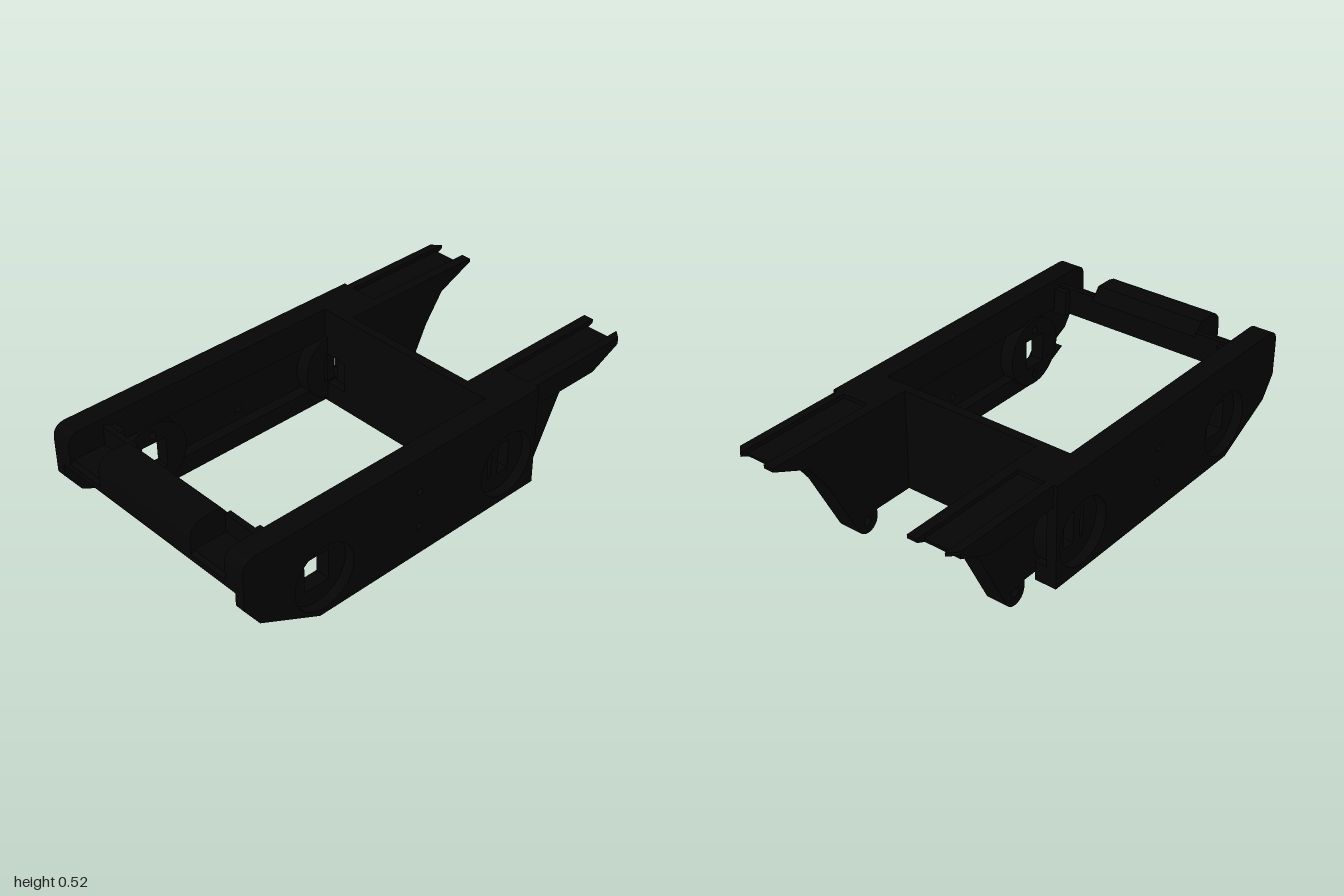
import * as THREE from 'three';

const black = new THREE.MeshStandardMaterial({ color: 0x050505 });
black.name = 'matte black';

// Side profiles are lists of [z, y]; they are extruded along x.
const outline = (pts) => new THREE.Shape(pts.map(([z, y]) => new THREE.Vector2(-z, y)));
const circle = (z, y, r) => new THREE.Path().absarc(-z, y, r, 0, Math.PI * 2, true);
const rect = (a0, a1, y0, y1) => new THREE.Path(
  [[a0, y0], [a1, y0], [a1, y1], [a0, y1]].map(([a, y]) => new THREE.Vector2(a, y)));

function slab(shape, x0, x1) {
  const g = new THREE.ExtrudeGeometry(shape, { depth: x1 - x0, bevelEnabled: false, curveSegments: 20 });
  return g.rotateY(Math.PI / 2).translate(x0, 0, 0);
}

// Wheel mounts in the side plates
const MOUNTS = [0.635, -0.31], MOUNT_Y = 0.247;
const mountHoles = (z) => [
  rect(-z - 0.057, -z + 0.057, 0.18, 0.315),
  circle(z, 0.35, 0.016), circle(z, 0.14, 0.016),
];

// Side plate skin
function plateShape() {
  const s = new THREE.Shape();
  s.moveTo(0.47, 0.082);
  s.lineTo(0.47, 0.525);
  s.lineTo(-0.94, 0.525);
  s.quadraticCurveTo(-1, 0.525, -1, 0.465);
  s.lineTo(-1, 0.315);
  s.lineTo(-0.935, 0.222);
  s.lineTo(-0.66, 0.082);
  s.closePath();
  s.holes.push(circle(0.165, 0.37, 0.015), circle(0.165, 0.213, 0.015));
  for (const z of MOUNTS) s.holes.push(circle(z, MOUNT_Y, 0.14));
  return s;
}

// Thick band along the top edge of a plate
function topBandShape() {
  const s = new THREE.Shape();
  s.moveTo(0.47, 0.39);
  s.lineTo(0.47, 0.525);
  s.lineTo(-0.94, 0.525);
  s.quadraticCurveTo(-1, 0.525, -1, 0.465);
  s.lineTo(-1, 0.39);
  s.closePath();
  for (const z of MOUNTS) s.holes.push(circle(z, 0.35, 0));
  s.holes.length = 0;
  return s;
}

// Rear web with the rounded hinge lug at its foot
function webShape() {
  const s = new THREE.Shape();
  s.moveTo(0.308, 0.082);
  s.lineTo(0.495, 0.082);
  s.lineTo(0.495, 0.054);
  s.absarc(0.549, 0.054, 0.054, Math.PI, Math.PI * 1.87, false);
  s.lineTo(0.74, 0.31);
  s.lineTo(0.83, 0.435);
  s.lineTo(0.83, 0.46);
  s.lineTo(0.308, 0.46);
  s.closePath();
  s.holes.push(circle(-0.549, 0.054, 0.02));
  return s;
}

export function createModel() {
  const model = new THREE.Group();
  model.name = 'chassisFrame';
  const add = (name, geometry) => {
    const m = new THREE.Mesh(geometry, black);
    m.name = name;
    model.add(m);
    return m;
  };
  const box = (name, x0, x1, y0, y1, z0, z1) =>
    add(name, new THREE.BoxGeometry(x1 - x0, y1 - y0, z1 - z0)
      .translate((x0 + x1) / 2, (y0 + y1) / 2, (z0 + z1) / 2));

  for (const side of [1, -1]) {
    const label = side > 0 ? 'left' : 'right';
    const span = (a, b) => (side > 0 ? [a, b] : [-b, -a]);
    const part = (name, shape, a, b) => add(label + name, slab(shape, ...span(a, b)));

    // Side plate: thin skin stiffened by bands along its top and bottom
    part('PlateSkin', plateShape(), 0.49, 0.534);
    part('TopBand', topBandShape(), 0.44, 0.49);
    part('BottomBand', outline([[-0.47, 0.082], [-0.47, 0.165], [0.772, 0.165], [0.85, 0.179], [0.66, 0.082]]),
      0.44, 0.49);

    // Wheel mounts standing proud of the inside, closing the round recesses
    for (const z of MOUNTS) {
      const boss = new THREE.Shape().absarc(-z, MOUNT_Y, 0.155, 0, Math.PI * 2, false);
      boss.holes.push(...mountHoles(z));
      part('MountBoss', boss, 0.427, 0.49);
    }

    // Rear arm: web, flange and two rails beside a shallow groove
    part('RearWeb', webShape(), 0.315, side > 0 ? 0.42 : 0.41);
    const under = [[-0.3, 0.43], [-0.82, 0.43]];
    part('ArmFlange', outline([...under, [-0.965, 0.496], [-0.965, 0.508], [-0.3, 0.508]]), 0.315, 0.517);
    const rail = outline([...under, [-1, 0.51], [-1, 0.525], [-0.3, 0.525]]);
    part('InnerRail', rail, 0.315, 0.36);
    const outerRail = part('OuterRail', rail, 0.48, 0.517);
    // Chamfer the outer corner of the tip
    const p = outerRail.geometry.attributes.position;
    for (let i = 0; i < p.count; i++) {
      if (Math.abs(p.getX(i)) > 0.51 && p.getZ(i) < -0.99) p.setZ(i, -0.965);
    }
    outerRail.geometry.computeVertexNormals();
    box(label + 'ArmRoot', ...span(0.315, 0.45), 0.43, 0.525, -0.47, -0.28);

    // Notched ends of the front bar, with a lip behind and a corner block
    part('BarEnd', outline([[0.82, 0.37], [1, 0.37], [1, 0.395], [0.985, 0.41], [0.845, 0.41],
      [0.845, 0.49], [0.82, 0.49]]), 0.26, 0.49);
    box(label + 'BarCorner', ...span(0.38, 0.49), 0.37, 0.48, 0.79, 0.83);
  }

  // Raised middle of the front bar, rounded at the front
  const bar = outline([[0.82, 0.37], [1, 0.37], [1, 0.465], [0.993, 0.495],
    [0.972, 0.517], [0.94, 0.525], [0.86, 0.525], [0.82, 0.47]]);
  add('frontBar', slab(bar, -0.26, 0.26));

  // Cross wall between the side plates, with an opening beside each rear mount
  const wall = new THREE.Shape(rect(-0.49, 0.49, 0.082, 0.525).getPoints());
  wall.holes.push(rect(0.325, 0.43, 0.175, 0.315), rect(-0.43, -0.325, 0.175, 0.315));
  add('rearWall', new THREE.ExtrudeGeometry(wall, { depth: 0.04, bevelEnabled: false }).translate(0, 0, -0.31));

  return model;
}
